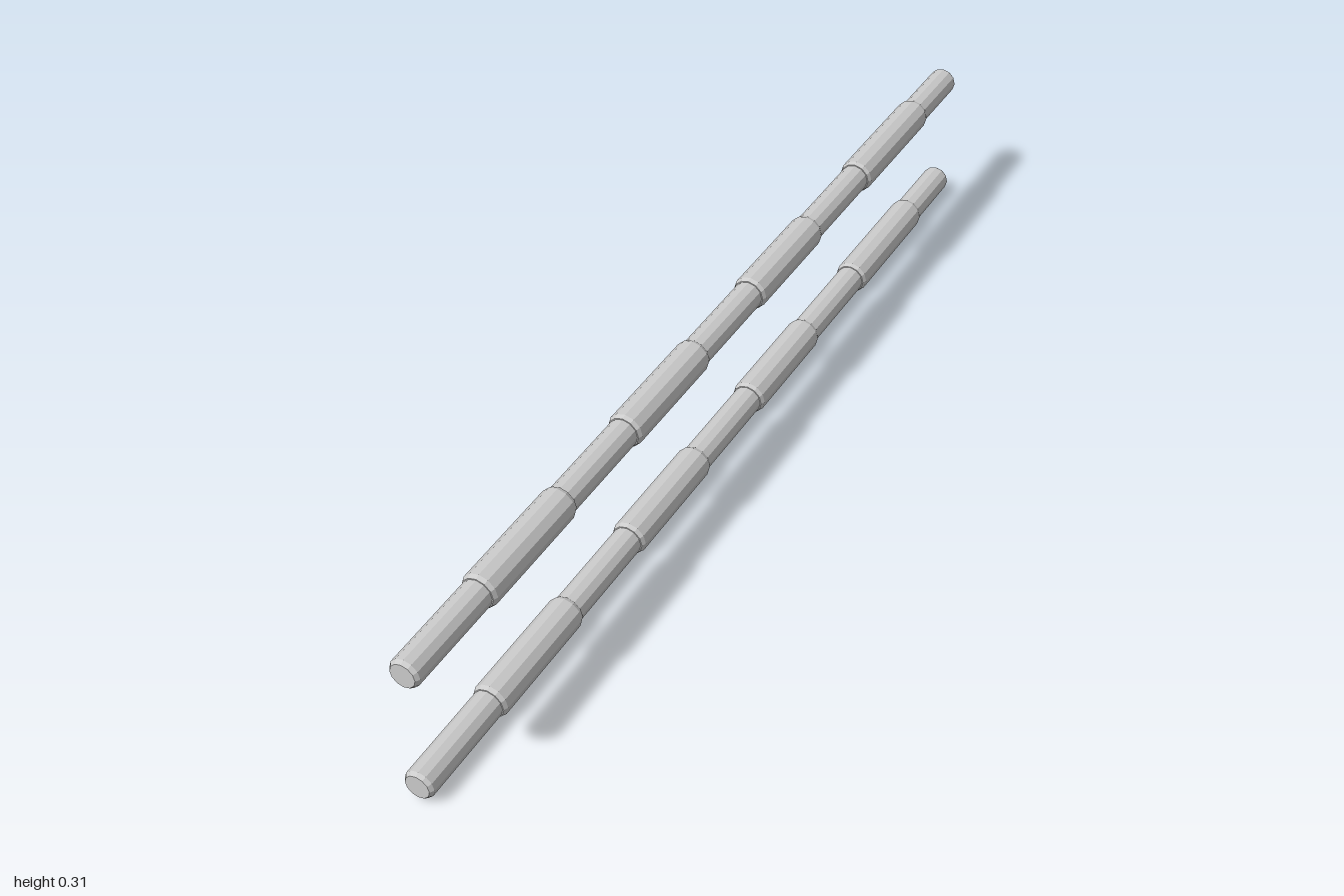
import * as THREE from 'three';

const SIDES = 12;
const material = new THREE.MeshStandardMaterial({ color: 0xcccccc, flatShading: true });

// Turned part lying along z, from [radius, z] pairs
function turned(name, profile) {
  const points = profile.map(([r, z]) => new THREE.Vector2(r, z));
  const geometry = new THREE.LatheGeometry(points, SIDES);
  geometry.rotateX(Math.PI / 2);
  const mesh = new THREE.Mesh(geometry, material);
  mesh.name = name;
  return mesh;
}

function createBar(name, y) {
  const bar = new THREE.Group();
  bar.name = name;

  // Core rod with chamfered ends
  bar.add(turned('rod', [
    [0, -1], [0.023, -1], [0.028, -0.993], [0.028, 0.993], [0.023, 1], [0, 1],
  ]));

  // Thicker grip sleeves with a small bevel at both ends
  const sleeves = [[-0.84, -0.555], [-0.345, -0.1], [0.105, 0.355], [0.555, 0.8]];
  sleeves.forEach(([back, front], i) => {
    bar.add(turned(`sleeve${i + 1}`, [
      [0.026, back], [0.030, back], [0.0335, back + 0.008],
      [0.0335, front - 0.008], [0.030, front], [0.026, front],
    ]));
  });

  // Each bar is very slightly skewed about the vertical
  bar.rotation.y = 0.005;
  bar.position.y = y;
  return bar;
}

export function createModel() {
  const model = new THREE.Group();
  model.name = 'parallelBars';
  model.add(createBar('lowerBar', 0.0335), createBar('upperBar', 0.28));
  return model;
}
